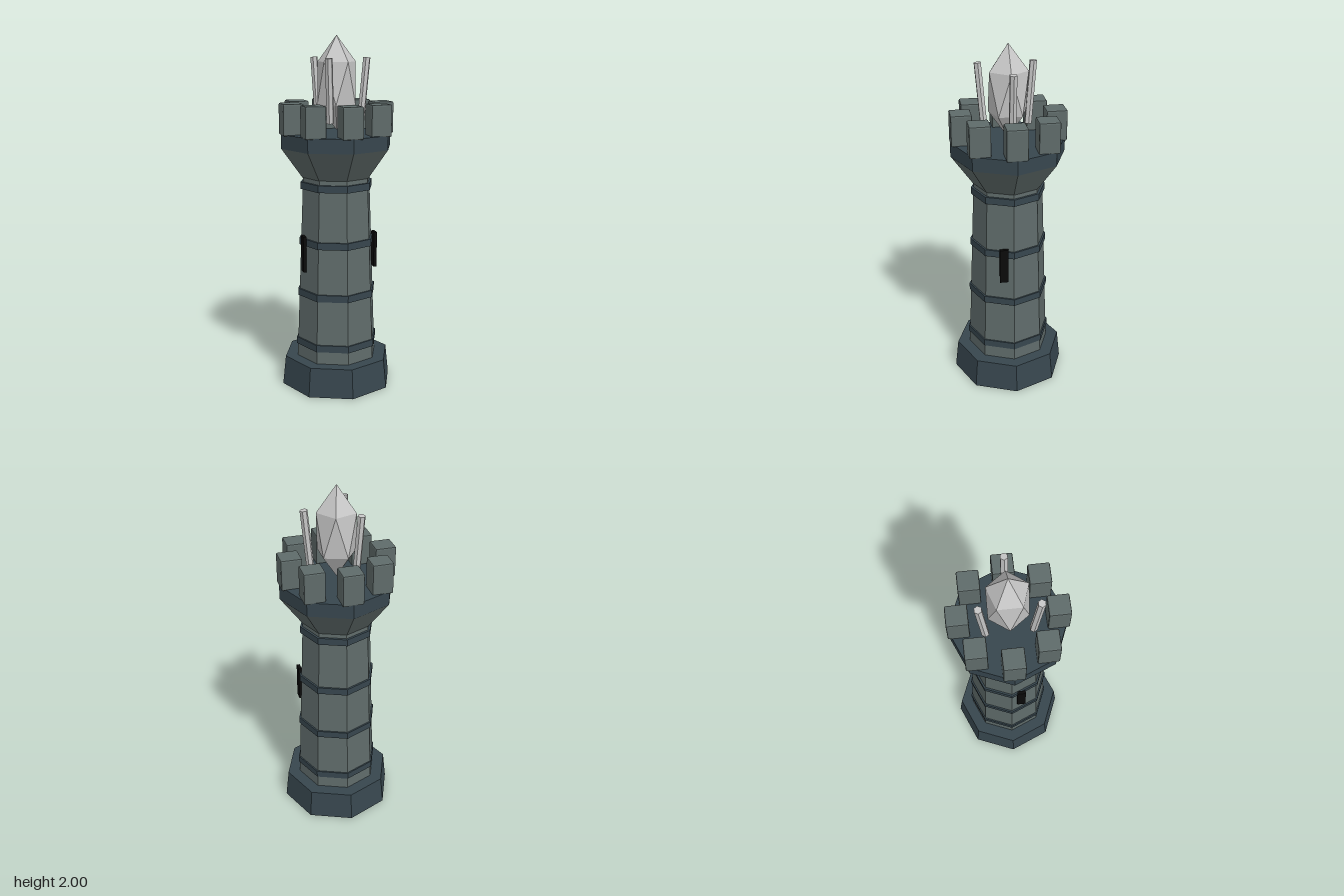
import * as THREE from 'three';
import { RoundedBoxGeometry } from 'three/addons/geometries/RoundedBoxGeometry.js';

const material = (name, color) => {
  const m = new THREE.MeshStandardMaterial({ color });
  m.name = name;
  return m;
};

// Faceted normals for the low-poly look
const flat = (geometry) => {
  const g = geometry.index ? geometry.toNonIndexed() : geometry;
  g.computeVertexNormals();
  return g;
};

export function createModel() {
  const stone = material('stone', 0x5f6b6a);
  const darkStone = material('dark stone', 0x37464e);
  const crystalGrey = material('crystal grey', 0xc6c6c6);
  const black = material('window black', 0x0a0a0a);
  const tower = new THREE.Group();
  tower.name = 'tower';

  const add = (name, geometry, mat, x = 0, y = 0, z = 0) => {
    const mesh = new THREE.Mesh(flat(geometry), mat);
    mesh.name = name;
    mesh.position.set(x, y, z);
    tower.add(mesh);
    return mesh;
  };
  // Octagonal section between two heights, corners on the axes
  const octagon = (name, mat, y0, y1, r0, r1) =>
    add(name, new THREE.CylinderGeometry(r1, r0, y1 - y0, 8), mat, 0, (y0 + y1) / 2, 0);

  // Tower body
  octagon('base', darkStone, 0, 0.168, 0.326, 0.308);
  octagon('shaft', stone, 0.165, 1.235, 0.236, 0.195);
  octagon('corbel', stone, 1.22, 1.385, 0.2, 0.318);
  octagon('deck', darkStone, 1.385, 1.465, 0.319, 0.319);

  // Bands around the shaft
  [[0.26, 0.24], [0.555, 0.23], [0.855, 0.22], [1.175, 0.21]].forEach(([y, r]) =>
    octagon('band', darkStone, y - 0.02, y + 0.02, r, r));

  // Eight chamfered battlements, all square to the axes
  for (let i = 0; i < 8; i++) {
    const a = (i * Math.PI) / 4;
    add('battlement', new RoundedBoxGeometry(0.116, 0.175, 0.116, 1, 0.008), stone,
      0.26 * Math.cos(a), 1.547, 0.26 * Math.sin(a));
  }

  // Slit windows on both sides
  for (const side of [-1, 1]) {
    add('window', new THREE.BoxGeometry(0.018, 0.205, 0.048), black, side * 0.209, 0.792, 0.056);
  }

  // Floating crystal: tall icosahedron standing on one corner
  const points = [0, 1, 0];
  for (let i = 0; i < 10; i++) {
    const a = (i * Math.PI) / 5;
    const ringY = (i % 2 ? -1 : 1) / Math.sqrt(5);
    points.push(Math.cos(a) * 2 / Math.sqrt(5), ringY, -Math.sin(a) * 2 / Math.sqrt(5));
  }
  points.push(0, -1, 0);
  const faces = [];
  for (let i = 0; i < 10; i++) {
    const p = 1 + i, q = 1 + (i + 1) % 10, r = 1 + (i + 2) % 10;
    if (i % 2 === 0) faces.push(0, p, r, p, q, r);
    else faces.push(11, r, p, p, r, q);
  }
  const crystal = new THREE.BufferGeometry();
  crystal.setAttribute('position', new THREE.Float32BufferAttribute(points, 3));
  crystal.setIndex(faces);
  crystal.scale(0.124, 0.26, 0.124);
  add('crystal', crystal, crystalGrey, 0, 1.74, 0);

  // Three hexagonal prongs leaning outwards
  for (let i = 0; i < 3; i++) {
    const prong = new THREE.CylinderGeometry(0.021, 0.021, 0.35, 6);
    prong.rotateY(Math.PI / 6);
    prong.rotateZ(-0.095);
    prong.translate(0.159, 0, 0);
    prong.rotateY((i * Math.PI * 2) / 3);
    add('prong', prong, crystalGrey, 0, 1.704, 0);
  }

  return tower;
}
